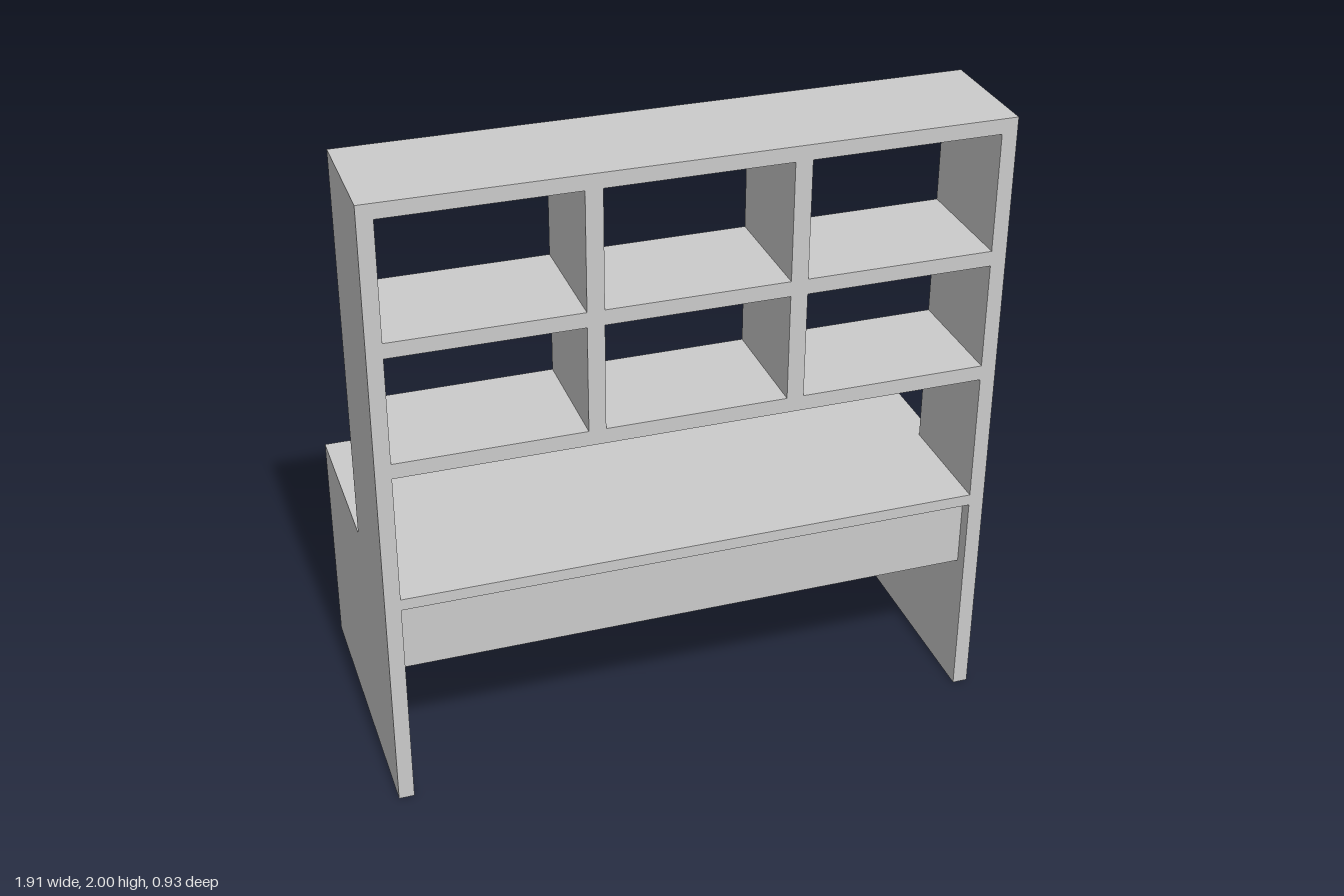
import * as THREE from 'three';

const material = new THREE.MeshStandardMaterial({ color: 0xcccccc });

// Overall layout: the shelf unit stands on the +z half of the desk
const HALF_W = 0.955, BOARD = 0.048, FRONT = 0.463, BACK = -0.463, HUTCH_BACK = 0.08;
const INNER = HALF_W - BOARD;

// Box given by its extents on each axis
function board(name, [x0, x1], [y0, y1], [z0, z1]) {
  const mesh = new THREE.Mesh(new THREE.BoxGeometry(x1 - x0, y1 - y0, z1 - z0), material);
  mesh.position.set((x0 + x1) / 2, (y0 + y1) / 2, (z0 + z1) / 2);
  mesh.name = name;
  return mesh;
}

// L-shaped side panel: tall at the front, desk height at the back
function sidePanel(name, x0) {
  const shape = new THREE.Shape([
    [-FRONT, 0], [-BACK, 0], [-BACK, 0.735], [-HUTCH_BACK, 0.735], [-HUTCH_BACK, 2], [-FRONT, 2],
  ].map(([u, y]) => new THREE.Vector2(u, y)));
  const geometry = new THREE.ExtrudeGeometry(shape, { depth: BOARD, bevelEnabled: false });
  geometry.rotateY(Math.PI / 2); // drawn along -z, thickness along +x
  const mesh = new THREE.Mesh(geometry, material);
  mesh.position.x = x0;
  mesh.name = name;
  return mesh;
}

export function createModel() {
  const model = new THREE.Group();
  model.name = 'deskWithShelves';
  const span = [-INNER, INNER];
  const hutchDepth = [HUTCH_BACK, FRONT];

  // Sides
  model.add(sidePanel('leftSide', INNER), sidePanel('rightSide', -HALF_W));

  // Desk top and the slightly recessed panel beneath it
  model.add(board('deskTop', span, [0.698, 0.735], [BACK, FRONT]));
  model.add(board('modestyPanel', span, [0.46, 0.698], [0.38, 0.42]));

  // Shelves
  const shelves = [['lowerShelf', 1.15, 1.198], ['middleShelf', 1.535, 1.583], ['topBoard', 1.953, 2]];
  for (const [name, y0, y1] of shelves) model.add(board(name, span, [y0, y1], hutchDepth));

  // Dividers, two per row of cubbies
  for (const [row, y] of [['lower', [1.198, 1.535]], ['upper', [1.583, 1.953]]]) {
    model.add(board(row + 'LeftDivider', [0.278, 0.33], y, hutchDepth));
    model.add(board(row + 'RightDivider', [-0.33, -0.278], y, hutchDepth));
  }
  return model;
}
